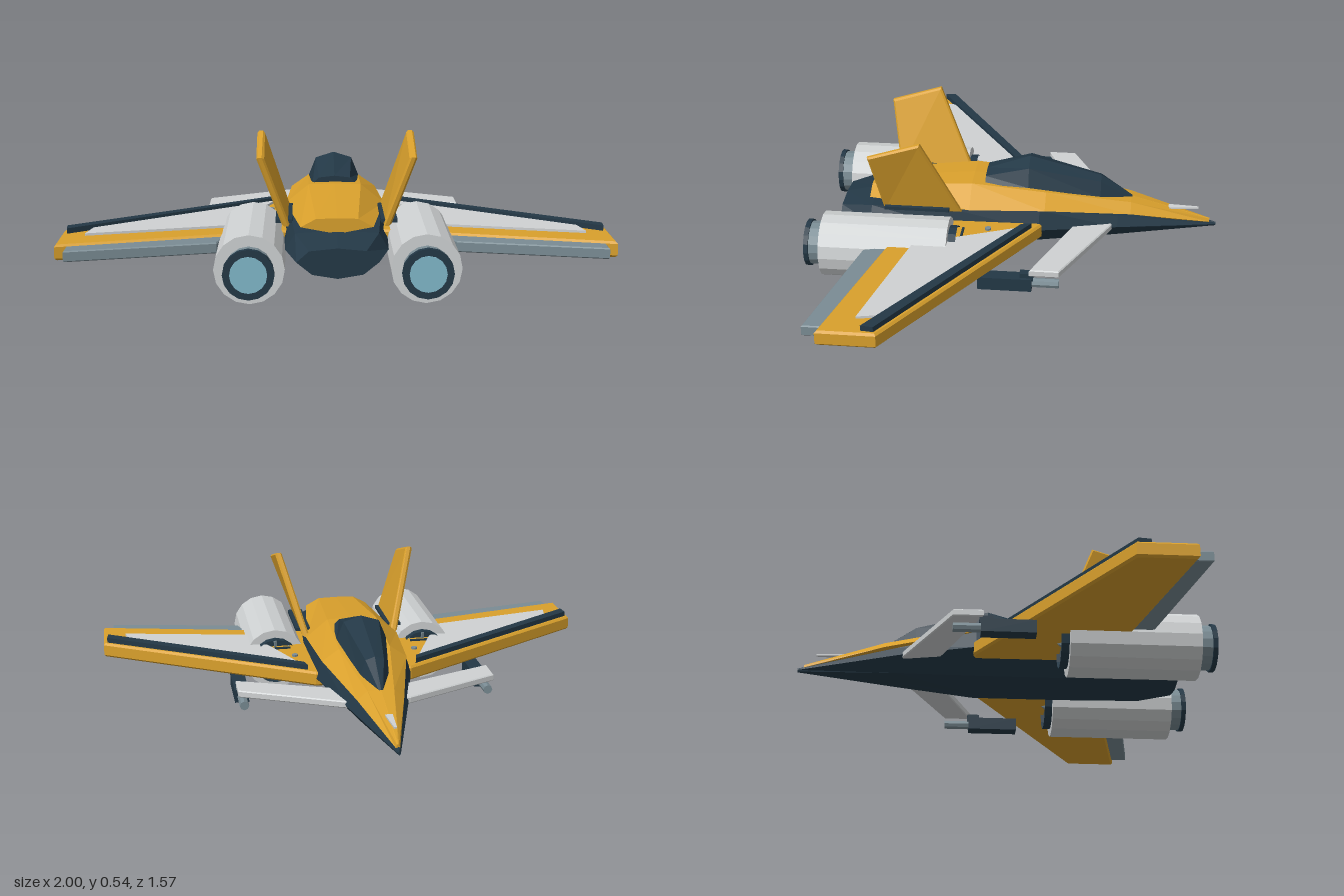
import * as THREE from 'three';

const mat = (name, color, extra = {}) => {
  const m = new THREE.MeshStandardMaterial({ color, flatShading: true, ...extra });
  m.name = name;
  return m;
};

// Closed loft along z; each section is [z, half outline from bottom centre to top centre]
function loft(sections) {
  const pos = [], idx = [];
  const rings = sections.map(([z, half]) => {
    const left = half.slice(1, -1).reverse().map(([x, y]) => [-x, y]);
    return [...half, ...left].map(([x, y]) => [x, y, z]);
  });
  const n = rings[0].length, last = (rings.length - 1) * n;
  rings.forEach(r => r.forEach(p => pos.push(...p)));
  for (let i = 0; i < rings.length - 1; i++) {
    for (let j = 0; j < n; j++) {
      const a = i * n + j, b = i * n + (j + 1) % n;
      idx.push(a, b, b + n, a, b + n, a + n);
    }
  }
  for (let j = 1; j < n - 1; j++) {
    idx.push(0, j + 1, j, last, last + j, last + j + 1);
  }
  const g = new THREE.BufferGeometry();
  g.setAttribute('position', new THREE.Float32BufferAttribute(pos, 3));
  g.setIndex(idx);
  const flat = g.toNonIndexed();
  flat.computeVertexNormals();
  return flat;
}

// Extruded outline with an inset bevel that keeps the given size
function slab(points, depth, bevel) {
  const shape = new THREE.Shape(points.map(([x, y]) => new THREE.Vector2(x, y)));
  const g = new THREE.ExtrudeGeometry(shape, {
    depth: depth - 2 * bevel, bevelEnabled: bevel > 0, bevelThickness: bevel,
    bevelSize: bevel, bevelOffset: -bevel, bevelSegments: 1,
  });
  return g.translate(0, 0, bevel);
}

// Horizontal plate from an [x, z] outline; s mirrors it
const plate = (s, pts, y0, y1, bevel = 0) =>
  slab(pts.map(([x, z]) => [s * x, -z]), y1 - y0, bevel).rotateX(-Math.PI / 2).translate(0, y0, 0);

// Cylinder lying along z
const tube = (r, z0, z1, sides = 16, open = false) =>
  new THREE.CylinderGeometry(r, r, z1 - z0, sides, 1, open)
    .rotateX(Math.PI / 2).translate(0, 0, (z0 + z1) / 2);

export function createModel() {
  const navy = mat('navy', 0x233846);
  const yellow = mat('yellow', 0xd9a02c);
  const grey = mat('light grey', 0xcfd2d3);
  const slate = mat('slate', 0x7a8c94);
  const glow = mat('exhaust blue', 0x80b8ca);
  const navyOpen = mat('navy open', 0x233846, { side: THREE.DoubleSide });

  const model = new THREE.Group();
  model.name = 'jet';
  const add = (name, geo, material, parent = model) => {
    const m = new THREE.Mesh(geo, material);
    m.name = name;
    parent.add(m);
    return m;
  };

  // Dark hull
  add('hull', loft([
    [-0.785, [[0, 0.122], [0.003, 0.124], [0.005, 0.13], [0.003, 0.135], [0, 0.138]]],
    [-0.4, [[0, 0.09], [0.07, 0.1], [0.115, 0.155], [0.095, 0.195], [0, 0.21]]],
    [-0.1, [[0, 0.05], [0.11, 0.08], [0.19, 0.165], [0.165, 0.24], [0, 0.25]]],
    [0.25, [[0, 0.05], [0.11, 0.08], [0.195, 0.165], [0.175, 0.235], [0, 0.25]]],
    [0.56, [[0, 0.06], [0.11, 0.085], [0.185, 0.16], [0.15, 0.22], [0, 0.23]]],
    [0.69, [[0, 0.09], [0.09, 0.105], [0.145, 0.15], [0.1, 0.19], [0, 0.2]]],
  ]), navy);

  // Yellow upper shell
  add('upperShell', loft([
    [-0.76, [[0, 0.13], [0.008, 0.14], [0.004, 0.152], [0, 0.154]]],
    [-0.45, [[0, 0.17], [0.088, 0.2], [0.05, 0.234], [0, 0.238]]],
    [-0.12, [[0, 0.22], [0.167, 0.238], [0.1, 0.285], [0, 0.288]]],
    [0.17, [[0, 0.22], [0.188, 0.238], [0.1, 0.31], [0, 0.313]]],
    [0.57, [[0, 0.22], [0.13, 0.245], [0.075, 0.275], [0, 0.277]]],
  ]), yellow);

  // Canopy
  add('canopy', loft([
    [-0.455, [[0, 0.22], [0.012, 0.225], [0.008, 0.235], [0, 0.24]]],
    [-0.33, [[0, 0.24], [0.055, 0.25], [0.035, 0.31], [0, 0.322]]],
    [-0.05, [[0, 0.28], [0.098, 0.3], [0.07, 0.37], [0, 0.392]]],
    [0.12, [[0, 0.29], [0.085, 0.3], [0.06, 0.325], [0, 0.332]]],
  ]), navy);

  // Nose probe
  add('noseProbe', plate(1, [[-0.014, -0.6], [0.014, -0.6], [0.005, -0.715], [-0.005, -0.715]], 0.193, 0.2), grey);
  add('probeMount', new THREE.BoxGeometry(0.014, 0.05, 0.025).translate(0, 0.175, -0.61), grey);

  for (const s of [1, -1]) {
    const side = new THREE.Group();
    side.name = s > 0 ? 'leftSide' : 'rightSide';
    model.add(side);
    const part = (name, geo, material) => add(name, geo, material, side);

    // Wing with inlay, leading edge stripe and flap
    part('wing', plate(s, [[0.12, -0.11], [0.19, -0.11], [1, 0.38], [1, 0.59], [0.12, 0.39]], 0.132, 0.19, 0.008), yellow);
    part('wingPanel', plate(s, [[0.22, -0.06], [0.89, 0.37], [0.91, 0.465], [0.41, 0.36], [0.33, 0.2]], 0.19, 0.199), grey);
    part('wingStripe', plate(s, [[0.215, -0.075], [0.985, 0.39], [0.98, 0.435], [0.225, -0.035]], 0.19, 0.21), navy);
    part('flap', plate(s, [[0.4, 0.44], [0.96, 0.56], [0.96, 0.645], [0.43, 0.54]], 0.142, 0.182, 0.004), slate);
    part('wingPort', new THREE.CylinderGeometry(0.012, 0.012, 0.009, 10).translate(s * 0.245, 0.1935, 0.09), slate);
    part('wingSlot', new THREE.BoxGeometry(0.08, 0.008, 0.008).translate(s * 0.29, 0.193, 0.185), navy);

    // Canard with gun pod
    part('canard', plate(s, [[0.08, -0.39], [0.13, -0.375], [0.5, -0.2], [0.5, -0.09], [0.08, -0.255]], 0.143, 0.17, 0.004), grey);
    part('podBody', new THREE.BoxGeometry(0.055, 0.05, 0.2).translate(s * 0.478, 0.107, 0), navy);
    part('podBarrel', tube(0.018, -0.2, -0.09, 8).translate(s * 0.478, 0.107, 0), slate);
    part('podMount', new THREE.BoxGeometry(0.03, 0.03, 0.05).translate(s * 0.478, 0.135, -0.08), navy);

    // Tail fin leaning outwards
    const fin = slab([[-0.2, 0.23], [-0.5, 0.23], [-0.54, 0.49], [-0.34, 0.552]], 0.028, 0.007)
      .rotateY(Math.PI / 2).translate(-0.014, 0, 0);
    const p = fin.attributes.position;
    for (let i = 0; i < p.count; i++) {
      p.setX(i, p.getX(i) + s * (0.185 + Math.min(p.getY(i) - 0.24, 0.25) * 0.35));
    }
    fin.computeVertexNormals();
    part('tailFin', fin, yellow);
    part('finBase', new THREE.BoxGeometry(0.06, 0.012, 0.25).translate(s * 0.19, 0.248, 0.37), navy);

    // Engine
    const engine = new THREE.Group();
    engine.name = 'engine';
    engine.position.set(s * 0.308, 0.132, 0);
    side.add(engine);
    add('engineCasing', tube(0.124, 0.23, 0.715), grey, engine);
    add('nozzleCollar', tube(0.084, 0.71, 0.762), slate, engine);
    add('nozzleRing', tube(0.09, 0.762, 0.78), navy, engine);
    add('exhaust', tube(0.065, 0.775, 0.784), glow, engine);
    add('intakeRing', tube(0.092, 0.2, 0.235, 16, true), navyOpen, engine);
    add('intakeBack', tube(0.09, 0.222, 0.23), navy, engine);
    add('fanHub', new THREE.ConeGeometry(0.025, 0.03, 8).rotateX(-Math.PI / 2).translate(0, 0, 0.207), slate, engine);
    for (let i = 0; i < 8; i++) {
      const blade = new THREE.BoxGeometry(0.06, 0.012, 0.006).rotateX(0.5).translate(0.052, 0, 0.216);
      add('fanBlade', blade.rotateZ(i * Math.PI / 4), slate, engine);
    }
  }
  return model;
}
